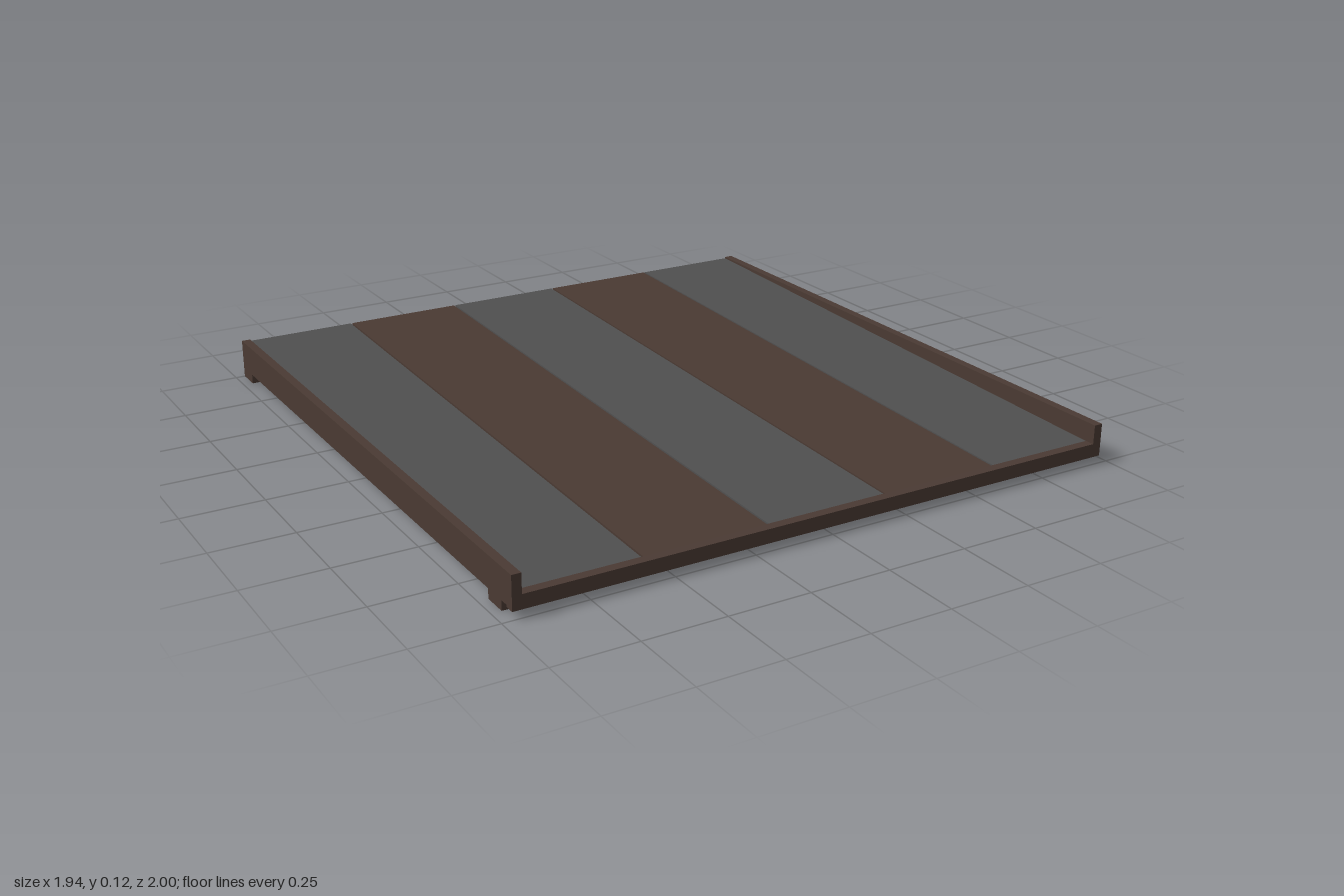
import * as THREE from 'three';

export function createModel() {
  const model = new THREE.Group();
  model.name = 'slopedDeck';
  const brown = new THREE.MeshStandardMaterial({ color: 0x4a3a33 });
  brown.name = 'dark brown wood';
  const grey = new THREE.MeshStandardMaterial({ color: 0x505050 });
  grey.name = 'dark grey wood';

  // box given by its limits on each axis
  function block(name, material, [x0, x1], [y0, y1], [z0, z1]) {
    const geo = new THREE.BoxGeometry(x1 - x0, y1 - y0, z1 - z0);
    geo.translate((x0 + x1) / 2, (y0 + y1) / 2, (z0 + z1) / 2);
    const mesh = new THREE.Mesh(geo, material);
    mesh.name = name;
    model.add(mesh);
    return mesh;
  }

  // planks slope down from the back to the front lip
  const FRONT = 0.97, BACK = -1, RISE = 0.055, THICK = 0.035;
  const joints = [-0.942, -0.582, -0.194, 0.194, 0.582, 0.942];
  for (let i = 0; i < 5; i++) {
    const plank = block('plank', i % 2 ? brown : grey,
      [joints[i] + (i > 0 ? 0.003 : 0), joints[i + 1] - (i < 4 ? 0.003 : 0)],
      [0.065 - THICK, 0.065], [BACK, FRONT]);
    const p = plank.geometry.attributes.position;
    for (let v = 0; v < p.count; v++) {
      p.setY(v, p.getY(v) + RISE * (FRONT - p.getZ(v)) / (FRONT - BACK));
    }
    plank.geometry.computeVertexNormals();
  }

  // side rails and front lip
  for (const s of [-1, 1]) {
    block(s > 0 ? 'leftRail' : 'rightRail', brown,
      s > 0 ? [0.942, 0.97] : [-0.97, -0.942], [0.03, 0.125], [-1, 1]);
  }
  block('frontLip', brown, [-0.97, 0.97], [0.024, 0.066], [0.97, 1]);

  // thin base sheet under the planks
  block('baseSheet', brown, [-0.942, 0.942], [0.037, 0.042], [-0.99, 0.94]);

  // crossbeams at front and back, joists between them
  block('frontCrossbeam', brown, [-0.97, 0.97], [0, 0.037], [0.865, 0.94]);
  block('backCrossbeam', brown, [-0.97, 0.97], [0, 0.066], [-1, -0.92]);
  for (const x of [-0.77, 0, 0.77]) {
    block('joist', brown, [x - 0.08, x + 0.08], [0, 0.037], [-0.92, 0.865]);
  }
  return model;
}
